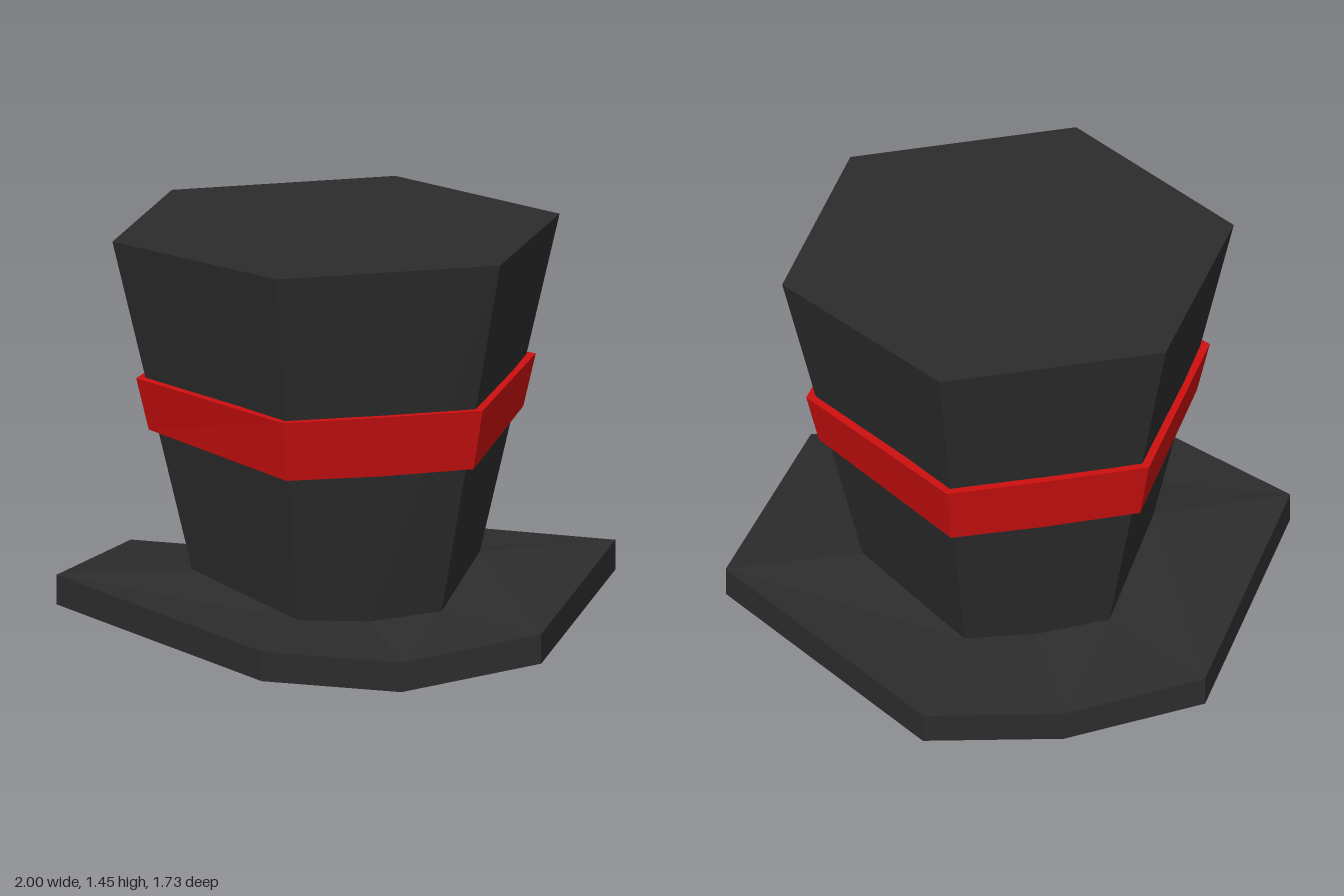
import * as THREE from 'three';

const black = new THREE.MeshStandardMaterial({ color: 0x2c2c2c, flatShading: true });
const red = new THREE.MeshStandardMaterial({ color: 0xcc0f0f, flatShading: true });

// Hexagon with an extra point in the middle of the front and back edges.
// Heights: side points, slanted corners, front/back middles.
function ring(r, side, corner, mid) {
  const h = Math.sqrt(3) / 2;
  return [
    [1, 0, side], [0.5, -h, corner], [0, -h, mid], [-0.5, -h, corner],
    [-1, 0, side], [-0.5, h, corner], [0, h, mid], [0.5, h, corner],
  ].map(([x, z, y]) => new THREE.Vector3(x * r, y, z * r));
}

// Joins successive rings with quads; optionally caps the first and last ring.
function loft(name, rings, material, capStart = false, capEnd = false) {
  const pts = [];
  const quad = (a, b, c, d) => pts.push(a, b, c, a, c, d);
  for (let k = 0; k + 1 < rings.length; k++) {
    const a = rings[k], b = rings[k + 1];
    for (let i = 0; i < 8; i++) {
      const j = (i + 1) % 8;
      quad(a[i], a[j], b[j], b[i]);
    }
  }
  // Caps run in strips from front to back, so bent rings stay folded along z.
  const cap = (p) => {
    pts.push(p[0], p[1], p[7], p[3], p[4], p[5]);
    quad(p[1], p[2], p[6], p[7]);
    quad(p[2], p[3], p[5], p[6]);
  };
  if (capEnd) cap(rings[rings.length - 1]);
  if (capStart) {
    const first = pts.length;
    cap(rings[0]);
    for (let i = first; i < pts.length; i += 3) [pts[i], pts[i + 1]] = [pts[i + 1], pts[i]];
  }
  const geometry = new THREE.BufferGeometry().setFromPoints(pts);
  geometry.computeVertexNormals();
  const mesh = new THREE.Mesh(geometry, material);
  mesh.name = name;
  return mesh;
}

export function createModel() {
  const hat = new THREE.Group();
  hat.name = 'topHat';

  // Brim drooping at front and back, with a shallow recess underneath
  hat.add(loft('brim', [
    ring(0.75, 0.25, 0.145, 0.09),
    ring(0.766, 0.155, 0.07, 0),
    ring(1, 0.175, 0.07, 0),
    ring(1, 0.28, 0.175, 0.105),
    ring(0.515, 0.27, 0.175, 0.155),
  ], black, true, false));

  // Crown flaring towards its flat top
  hat.add(loft('crown', [
    ring(0.515, 0.27, 0.175, 0.155),
    ring(0.8, 1.45, 1.45, 1.45),
  ], black, false, true));

  // Band standing proud of the crown
  const bandBottom = ring(0.67, 0.775, 0.705, 0.7);
  hat.add(loft('band', [
    bandBottom,
    ring(0.715, 0.96, 0.92, 0.918),
    ring(0.67, 0.96, 0.92, 0.918),
    ring(0.62, 0.775, 0.705, 0.7),
    bandBottom,
  ], red));

  return hat;
}
